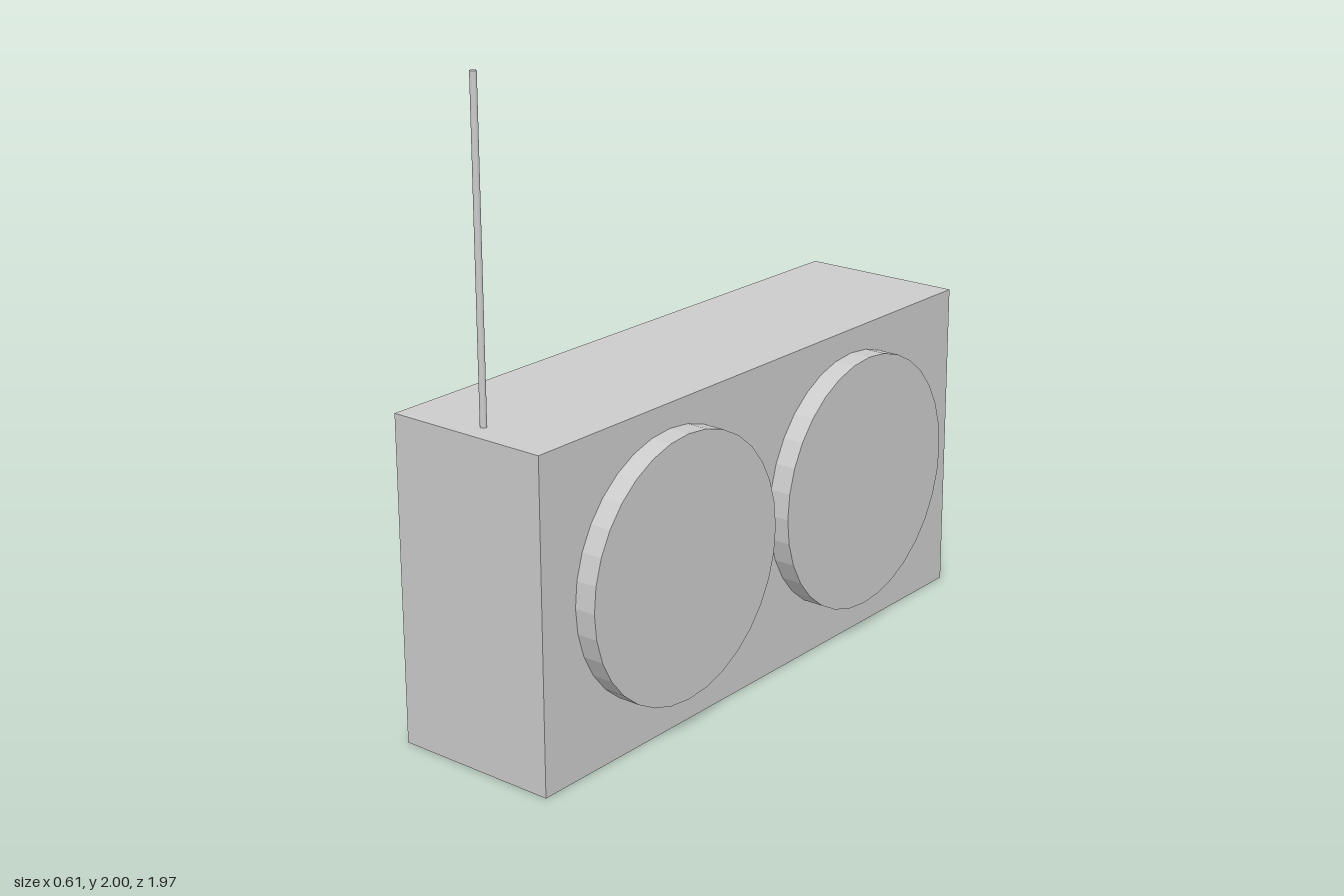
import * as THREE from 'three';

export function createModel() {
  const model = new THREE.Group();
  const material = new THREE.MeshStandardMaterial({ color: 0xcccccc, flatShading: true });

  const add = (name, geometry, x, y, z) => {
    const mesh = new THREE.Mesh(geometry, material);
    mesh.name = name;
    mesh.position.set(x, y, z);
    model.add(mesh);
    return mesh;
  };

  // Radio cabinet
  const height = 1.013, faceX = 0.235, backX = -0.304;
  add('cabinet', new THREE.BoxGeometry(faceX - backX, height, 1.974), (faceX + backX) / 2, height / 2, 0);

  // Pair of round speakers on the +x face
  const depth = 0.069;
  for (const [name, z] of [['frontSpeaker', 0.441], ['rearSpeaker', -0.439]]) {
    const speaker = add(name, new THREE.CylinderGeometry(0.41, 0.41, depth, 32), faceX + depth / 2, 0.526, z);
    speaker.rotation.z = -Math.PI / 2;
  }

  // Thin upright antenna near the front end
  add('antenna', new THREE.CylinderGeometry(0.01, 0.01, 2 - height, 16), -0.034, (2 + height) / 2, 0.914);

  return model;
}
